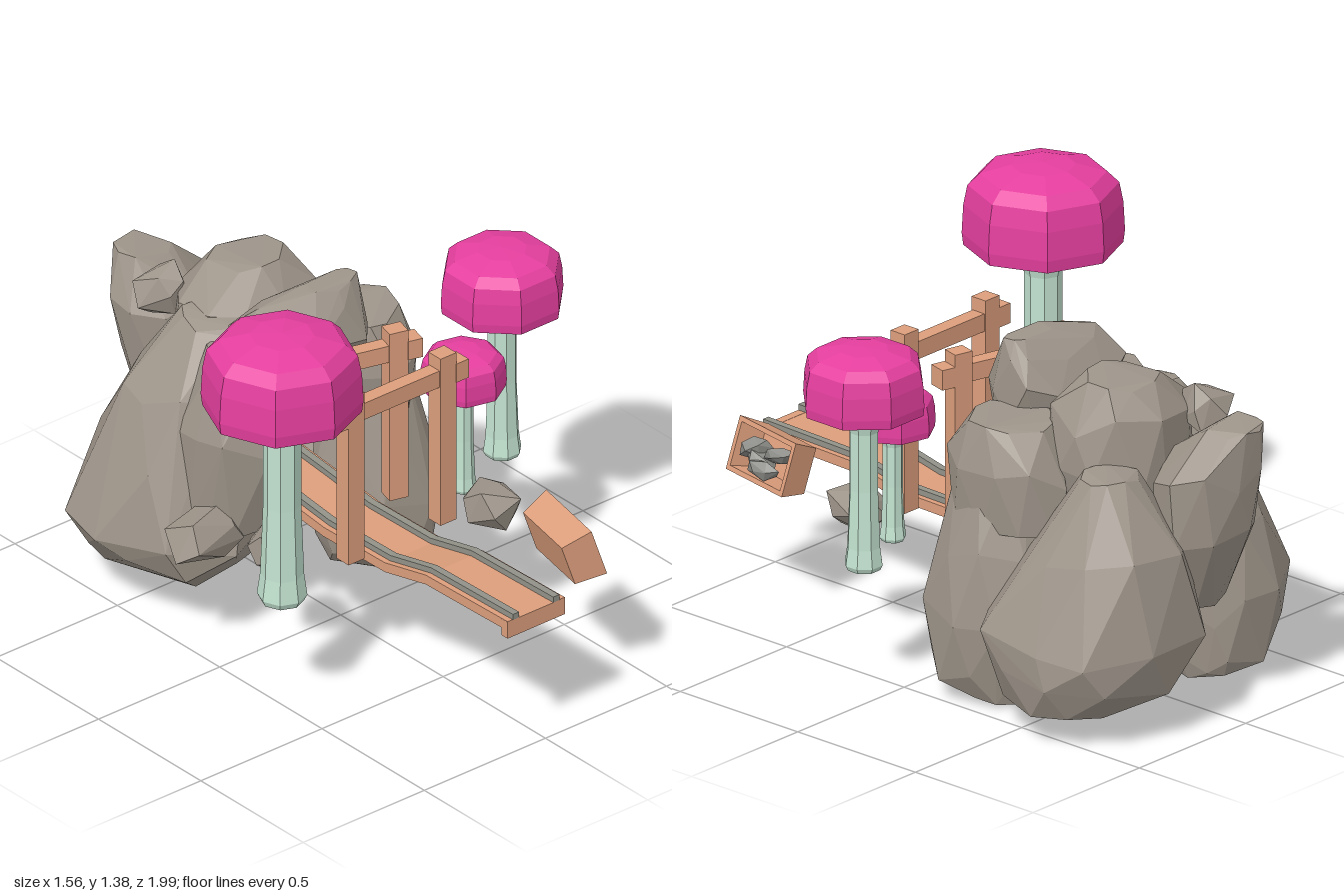
import * as THREE from 'three';
import { ConvexGeometry } from 'three/addons/geometries/ConvexGeometry.js';
import { mergeGeometries } from 'three/addons/utils/BufferGeometryUtils.js';

const mat = (color) => new THREE.MeshStandardMaterial({ color, flatShading: true });
const ROCK = mat(0x9e958a), WOOD = mat(0xdc9e7c), STEM = mat(0xc3e3d0), CAP = mat(0xe63f9f), METAL = mat(0x929289), ORE = mat(0x8c8c88);

function seeded(seed) {
  let s = seed * 7919 + 17;
  return () => (s = (s * 16807) % 2147483647) / 2147483647;
}

function add(parent, name, geometry, material, x = 0, y = 0, z = 0) {
  const mesh = new THREE.Mesh(geometry, material);
  mesh.name = name;
  mesh.position.set(x, y, z);
  parent.add(mesh);
  return mesh;
}

const box = (w, h, d, x = 0, y = 0, z = 0) => new THREE.BoxGeometry(w, h, d).translate(x, y, z);

// Faceted boulder: hull of jittered rings [y, centreX, centreZ, radiusX, radiusZ, corner bulge]
function boulder(rings, seed, sides = 9) {
  const rnd = seeded(seed), points = [];
  rings.forEach(([y, cx, cz, rx, rz, bulge = 0], k) => {
    const inner = k > 0 && k < rings.length - 1;
    for (let i = 0; i < sides; i++) {
      const a = ((i + (k % 2) / 2 + (rnd() - 0.5) * 0.5) / sides) * Math.PI * 2;
      const r = (0.95 + rnd() * 0.12) * (1 + bulge * Math.sin(2 * a) ** 2);
      const dy = (rnd() - 0.5) * (inner ? 0.08 : 0.03);
      points.push(new THREE.Vector3(cx + Math.cos(a) * rx * r, Math.max(0, y + dy), cz + Math.sin(a) * rz * r));
    }
  });
  return new ConvexGeometry(points);
}

// Small stone: hull of jittered points on an ellipsoid
function stone(rx, ry, rz, seed) {
  const rnd = seeded(seed), points = [];
  for (let i = 0; i < 13; i++) {
    const v = 1 - (2 * (i + 0.5)) / 13, a = i * 2.4 + rnd() * 0.5, r = Math.sqrt(1 - v * v), k = 0.8 + rnd() * 0.35;
    points.push(new THREE.Vector3(Math.cos(a) * r * rx * k, v * ry * k, Math.sin(a) * r * rz * k));
  }
  return new ConvexGeometry(points);
}

// Eight-sided mushroom, sized by its cap radius
function mushroom(name, x, z, base, capY, top, R, turn) {
  const g = new THREE.Group();
  g.name = name;
  const h = capY - base, t = top - capY;
  const lathe = (profile) => new THREE.LatheGeometry(profile.map(([r, y]) => new THREE.Vector2(r * R, y)), 8);
  add(g, 'stem', lathe([[0, 0], [0.27, 0], [0.31, 0.03 * h], [0.27, 0.14 * h], [0.235, 0.5 * h], [0.235, h - 0.38 * R],
    [0.27, h - 0.24 * R], [0.38, h - 0.1 * R], [0.56, h], [0.56, h + 0.02]]), STEM);
  add(g, 'cap', lathe([[0, 0.04], [0.9, 0], [0.98, 0], [1, 0.15 * t], [0.98, 0.5 * t], [0.93, 0.74 * t],
    [0.78, 0.88 * t], [0.4, 0.98 * t], [0, t]]), CAP, 0, h, 0);
  g.position.set(x, base, z);
  g.rotation.y = turn;
  return g;
}

// Timber gate: two posts through a cross beam, with thick beam ends
function gate(name) {
  const g = new THREE.Group();
  g.name = name;
  for (const s of [-1, 1]) {
    add(g, 'post', box(0.065, 0.61, 0.06), WOOD, s * 0.19, 0.73, 0);
    add(g, 'beamEnd', box(0.05, 0.068, 0.064), WOOD, s * 0.247, 0.96, 0);
  }
  add(g, 'crossBeam', box(0.52, 0.06, 0.05), WOOD, 0, 0.96, 0);
  return g;
}

// Strip following the track's side profile
const PATH = [[1, 0.485], [0.6, 0.475], [0.4, 0.43], [0.1, 0.425], [-0.12, 0.45], [-0.32, 0.47]];
function strip(width, low, high, x) {
  const shape = new THREE.Shape();
  PATH.forEach(([z, y], i) => (i ? shape.lineTo(-z, y + high) : shape.moveTo(-z, y + high)));
  [...PATH].reverse().forEach(([z, y]) => shape.lineTo(-z, y + low));
  return new THREE.ExtrudeGeometry(shape, { depth: width, bevelEnabled: false })
    .translate(0, 0, -width / 2).rotateY(Math.PI / 2).translate(x, 0, 0);
}

export function createModel() {
  const model = new THREE.Group();

  // Boulders around the cave
  const rocks = {
    rightFrontBoulder: [[0.015, 0.33, -0.25, 0.13, 0.15], [0.1, 0.32, -0.21, 0.18, 0.21], [0.28, 0.32, -0.21, 0.21, 0.22],
      [0.5, 0.32, -0.23, 0.17, 0.2], [0.74, 0.31, -0.22, 0.1, 0.14]],
    rightBackBoulder: [[0.1, 0.38, -0.6, 0.2, 0.2], [0.2, 0.31, -0.62, 0.3, 0.3, 0.1], [0.34, 0.3, -0.63, 0.33, 0.32, 0.12],
      [0.6, 0.28, -0.67, 0.22, 0.25], [0.84, 0.27, -0.67, 0.1, 0.09]],
    leftBoulder: [[0.03, -0.21, -0.63, 0.08, 0.1], [0.09, -0.28, -0.58, 0.18, 0.21], [0.2, -0.32, -0.5, 0.25, 0.31],
      [0.32, -0.33, -0.46, 0.28, 0.34], [0.52, -0.29, -0.47, 0.22, 0.29], [0.76, -0.25, -0.45, 0.18, 0.22], [0.97, -0.16, -0.42, 0.1, 0.12]],
    leftCaveWall: [[0.39, -0.31, -0.2, 0.12, 0.16], [0.7, -0.3, -0.18, 0.13, 0.18, 0.1], [0.94, -0.22, -0.18, 0.12, 0.17]],
    roofBoulder: [[0.87, 0, -0.18, 0.2, 0.15], [0.99, -0.02, -0.18, 0.25, 0.18], [1.08, 0, -0.17, 0.19, 0.11], [1.12, 0.08, -0.15, 0.1, 0.05]],
    crownBoulder: [[0.62, 0.03, -0.52, 0.2, 0.18], [0.78, 0.03, -0.5, 0.25, 0.21], [0.95, 0.03, -0.5, 0.24, 0.2], [1.07, 0.05, -0.52, 0.13, 0.11]],
    rightShoulder: [[0.58, 0.3, -0.27, 0.14, 0.21], [0.78, 0.3, -0.26, 0.15, 0.22], [0.92, 0.27, -0.25, 0.13, 0.15]],
    backBoulder: [[0.37, -0.02, -0.78, 0.1, 0.08], [0.6, 0, -0.82, 0.19, 0.15], [0.82, -0.01, -0.84, 0.2, 0.15], [0.97, -0.06, -0.9, 0.09, 0.09]],
    caveBackWall: [[0.4, -0.04, -0.6, 0.1, 0.1], [0.65, -0.04, -0.56, 0.19, 0.15], [0.8, 0, -0.55, 0.2, 0.15]],
  };
  Object.entries(rocks).forEach(([name, rings], i) => add(model, name, boulder(rings, i + 3), ROCK));

  // Loose stones
  [[-0.45, 0.42, -0.13, 0.16, 0.09, 0.12], [-0.36, 0.43, 0.09, 0.1, 0.08, 0.11],
    [0.31, 0.455, 0.355, 0.1, 0.085, 0.12], [-0.15, 0.95, -0.69, 0.1, 0.09, 0.08]]
    .forEach(([x, y, z, ...r], i) => add(model, 'looseStone', stone(...r, i + 21), ROCK, x, y, z));

  // Mushrooms
  model.add(mushroom('tallMushroom', -0.525, 0.335, 0.41, 1.11, 1.385, 0.258, 0));
  model.add(mushroom('mediumMushroom', 0.59, 0.09, 0.41, 0.955, 1.163, 0.203, Math.PI / 8));
  model.add(mushroom('smallMushroom', 0.352, 0.182, 0.41, 0.785, 0.925, 0.138, 0.15));

  // Cave gates
  const frontGate = gate('frontGate');
  frontGate.position.set(-0.024, 0, 0.3);
  const rearGate = gate('rearGate');
  rearGate.position.set(-0.024, -0.01, 0.027);
  rearGate.rotation.y = -0.26;
  add(rearGate, 'hangingPeg', new THREE.CylinderGeometry(0.014, 0.018, 0.07, 6), WOOD, 0, 0.9, 0);
  model.add(frontGate, rearGate);

  // Track: deck, side skirts, rails and end board
  const track = new THREE.Group();
  track.name = 'track';
  add(track, 'deck', strip(0.235, -0.015, 0, -0.038), WOOD);
  for (const s of [-1, 1]) {
    add(track, 'sideSkirt', strip(0.02, -0.032, 0.002, -0.038 + s * 0.108), WOOD);
    add(track, 'rail', strip(0.025, 0, 0.02, -0.038 + s * 0.083), METAL);
  }
  add(track, 'endBoard', box(0.237, 0.06, 0.03), WOOD, -0.038, 0.455, 0.985);
  model.add(track);

  // Tipped crate, flaring towards its opening, with ore inside
  const crate = new THREE.Group();
  crate.name = 'tippedCrate';
  const shell = mergeGeometries([box(0.165, 0.015, 0.275, 0, -0.045, 0),
    ...[-1, 1].flatMap((s) => [box(0.015, 0.105, 0.275, s * 0.075, 0, 0), box(0.165, 0.105, 0.015, 0, 0, s * 0.13)])]);
  const p = shell.attributes.position;
  for (let i = 0; i < p.count; i++) {
    const k = 1 + p.getY(i) * 1.5;
    p.setXYZ(i, p.getX(i) * k, p.getY(i), p.getZ(i) * k);
  }
  add(crate, 'crateShell', shell, WOOD);
  [[-0.02, -0.05, 0.3], [0.02, 0.02, -0.4], [-0.01, 0.06, 0.6], [0.04, -0.01, 0.1]].forEach(([x, z, turn], i) => {
    add(crate, 'ore', stone(0.032, 0.045, 0.065, i + 40), ORE, x, 0.015 + 0.008 * i, z).rotation.y = turn;
  });
  crate.position.set(0.28, 0.509, 0.754);
  crate.rotation.set(0, -0.2, -1.25, 'YXZ');
  model.add(crate);

  return model;
}
